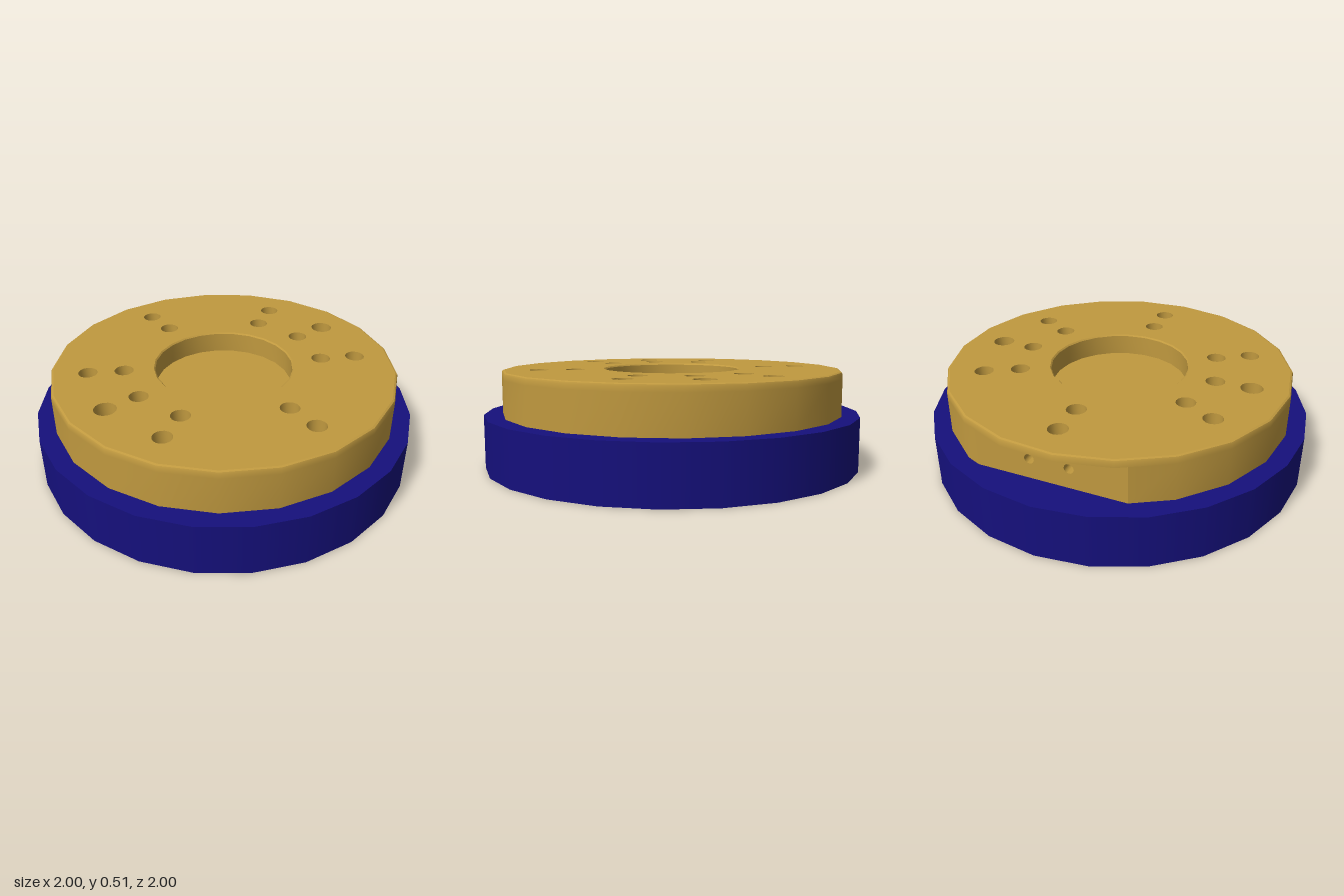
import * as THREE from 'three';
import { toCreasedNormals } from 'three/addons/utils/BufferGeometryUtils.js';

const TOP = 0.51, LIP = 0.473, BASE = 0.28, R = 0.907, SIDES = 21, FLAT = -0.815;
const brass = new THREE.MeshStandardMaterial({ color: 0xc0993f });
const blue = new THREE.MeshStandardMaterial({ color: 0x15107c });
const V = (x, y) => new THREE.Vector2(x, y);

// Polygon corners as (x, z), in the same order as a lathe's segments
const ring = (r, n, cx = 0, cz = 0) => Array.from({ length: n }, (_, i) => {
  const a = (i / n) * Math.PI * 2;
  return V(cx + r * Math.sin(a), cz + r * Math.cos(a));
});
const flipped = (pts) => pts.map((p) => V(p.x, -p.y));

function lathe(profile, n) {
  return toCreasedNormals(new THREE.LatheGeometry(profile.map(([x, y]) => V(x, y)), n), 0.6);
}

// Blind drilled hole with a conical bottom, mouth at y = 0
const drill = (r, depth) => lathe([[r, 0], [r, -depth], [0, -depth - r * 0.6]], 16);

export function createModel() {
  const group = new THREE.Group();
  const add = (name, geometry, material = brass) => {
    const mesh = new THREE.Mesh(geometry, material);
    mesh.name = name;
    group.add(mesh);
    return mesh;
  };

  // Blue base disc
  add('baseDisc', new THREE.CylinderGeometry(1, 1, BASE, 24).translate(0, BASE / 2, 0), blue);

  // Bolt holes: two circles of eight, the outer front and back ones larger
  const holes = [];
  for (const d of [0.525, 0.712]) {
    for (const deg of [0, 30, 90, 150, 180, 210, 270, 330]) {
      const a = THREE.MathUtils.degToRad(deg);
      const r = d > 0.6 && deg % 180 === 0 ? 0.057 : 0.05;
      holes.push({ x: d * Math.sin(a), z: d * Math.cos(a), r });
    }
  }

  // Top face, pierced by the bolt holes and the central recess
  const face = new THREE.Shape(flipped(ring(R - 0.013, SIDES)));
  face.holes.push(new THREE.Path(flipped(ring(0.37, 24))));
  for (const h of holes) face.holes.push(new THREE.Path(flipped(ring(h.r, 16, h.x, h.z))));
  add('topFace', new THREE.ShapeGeometry(face).rotateX(-Math.PI / 2).translate(0, TOP, 0));
  for (const h of holes) add('boltHole', drill(h.r, 0.09)).position.set(h.x, TOP, h.z);

  // Central recess with a small chamfer
  add('centreRecess', lathe([[0.37, TOP], [0.363, TOP - 0.007], [0.363, 0.395], [0, 0.395]], 24));

  // Rounded rim
  add('rim', lathe([[R, LIP], [R, TOP - 0.013], [R - 0.004, TOP - 0.004], [R - 0.013, TOP]], SIDES));

  // Body outline, split by the flat into a long arc and a short cut-off part
  const corners = ring(R, SIDES);
  const cross = (p, q) => p.clone().lerp(q, (FLAT - p.x) / (q.x - p.x));
  const first = corners.findIndex((p) => p.x < FLAT);
  const cut = corners.filter((p) => p.x < FLAT);
  const last = first + cut.length;
  const back = cross(corners[first - 1], corners[first]);
  const front = cross(corners[last - 1], corners[last % SIDES]);
  const arc = [front, ...corners.slice(last), ...corners.slice(0, first), back];

  // Curved body wall: a strip bent along the arc
  const wall = new THREE.PlaneGeometry(1, 1, arc.length - 1, 1);
  const pos = wall.attributes.position;
  for (let i = 0; i < pos.count; i++) {
    const p = arc[i % arc.length];
    pos.setXYZ(i, p.x, i < arc.length ? LIP : BASE, p.y);
  }
  add('bodyWall', toCreasedNormals(wall, 0.6));

  // Underside of the lip that overhangs the flat
  const under = new THREE.Shape([back, ...cut, front]);
  add('lipUnderside', new THREE.ShapeGeometry(under).rotateX(Math.PI / 2).translate(0, LIP, 0));

  // Flat side wall with two small drilled holes
  const flat = new THREE.Shape([V(back.y, BASE), V(front.y, BASE), V(front.y, LIP), V(back.y, LIP)]);
  for (const z of [-0.1, 0.1]) {
    flat.holes.push(new THREE.Path(ring(0.025, 16, z, 0.385)));
    add('sideHole', drill(0.025, 0.06).rotateZ(Math.PI / 2)).position.set(FLAT, 0.385, z);
  }
  add('flatSide', new THREE.ShapeGeometry(flat).rotateY(-Math.PI / 2).translate(FLAT, 0, 0));

  return group;
}
